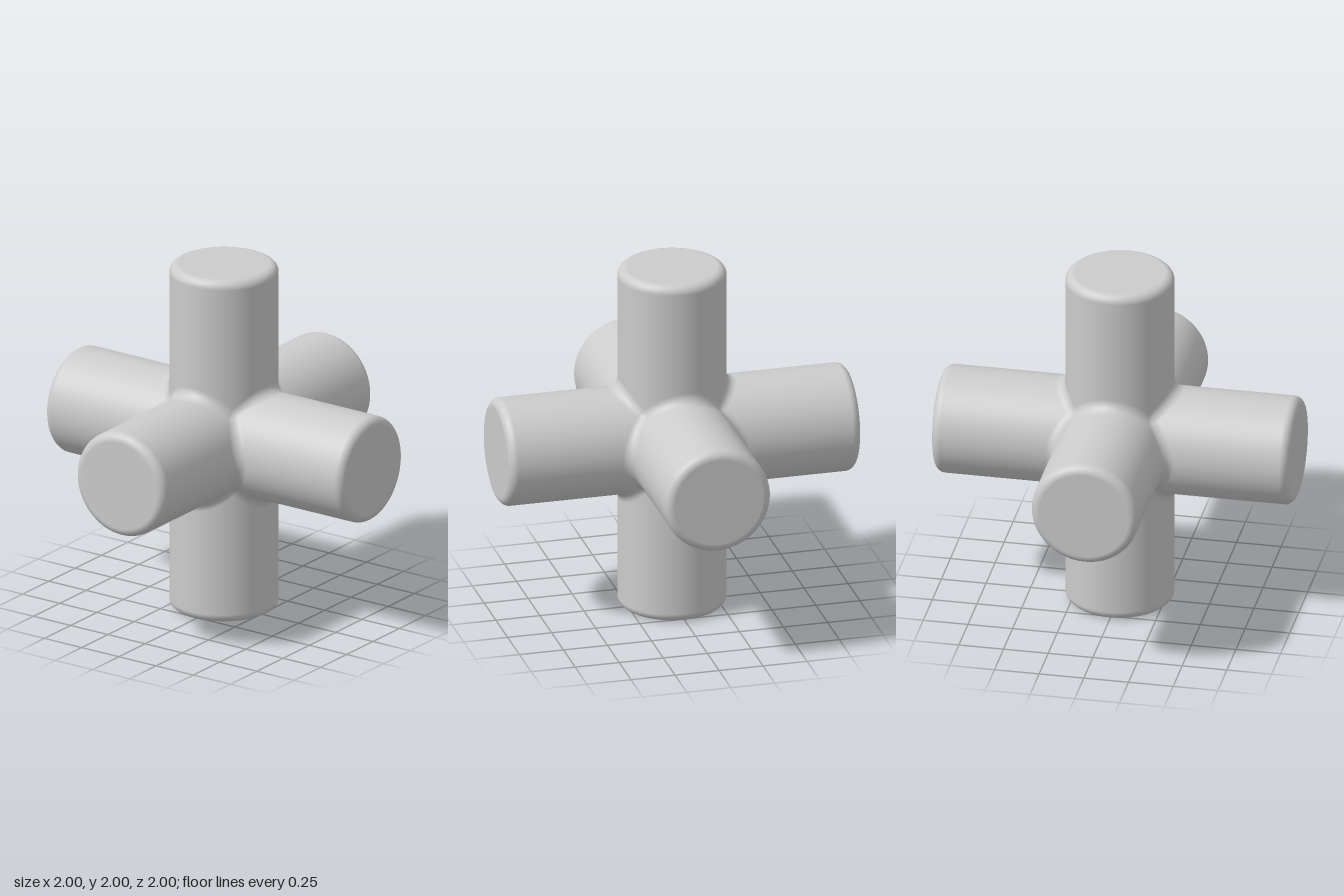
import * as THREE from 'three';
import { mergeGeometries } from 'three/addons/utils/BufferGeometryUtils.js';

const R = 0.3;      // arm radius
const F = 0.06;     // blend radius where arms meet
const RIM = 0.05;   // rounding at the arm ends
const SEG = 24;     // columns per quarter of an arm
const N = 12;       // steps across a full blend arc

function makeGeometry(points, normals, index) {
  const g = new THREE.BufferGeometry();
  g.setAttribute('position', new THREE.Float32BufferAttribute(points.flatMap(p => p.toArray()), 3));
  g.setAttribute('normal', new THREE.Float32BufferAttribute(normals.flatMap(n => n.toArray()), 3));
  g.setIndex(index);
  return g;
}

// One lengthwise quarter of an arm along +z: half blend, straight wall, rounded rim
function quarterPanel() {
  const points = [], normals = [], index = [];
  const rows = N / 2 + 1 + 9;
  for (let i = 0; i <= SEG; i++) {
    const phi = (i / SEG - 0.5) * Math.PI / 2;
    const c = Math.cos(phi), s = Math.sin(phi);
    // blend: a ball touching this arm and the neighbouring arm along x
    const ball = new THREE.Vector3(c, s, c).multiplyScalar(R + F);
    const own = new THREE.Vector3(-c, -s, 0), other = new THREE.Vector3(0, -s, -c);
    for (let k = N / 2; k >= 0; k--) {
      const d = own.clone().lerp(other, k / N).normalize();
      points.push(ball.clone().addScaledVector(d, F));
      normals.push(d.negate());
    }
    // rim
    for (let k = 0; k <= 8; k++) {
      const a = k / 8 * Math.PI / 2;
      const n = new THREE.Vector3(c * Math.cos(a), s * Math.cos(a), Math.sin(a));
      points.push(new THREE.Vector3(c * (R - RIM), s * (R - RIM), 1 - RIM).addScaledVector(n, RIM));
      normals.push(n);
    }
  }
  for (let i = 0; i < SEG; i++) {
    for (let j = 0; j < rows - 1; j++) {
      const a = i * rows + j, b = a + rows;
      index.push(a, b, b + 1, a, b + 1, a + 1);
    }
  }
  return makeGeometry(points, normals, index);
}

function armGeometry() {
  const parts = [];
  for (let q = 0; q < 4; q++) parts.push(quarterPanel().rotateZ(q * Math.PI / 2));
  const cap = new THREE.CircleGeometry(R - RIM, SEG * 4, Math.PI / 4).translate(0, 0, 1);
  cap.deleteAttribute('uv');
  parts.push(cap);
  return mergeGeometries(parts);
}

// Spherical triangle that closes the blend between three arms
function cornerGeometry() {
  const points = [], normals = [], index = [];
  const h = (R + F) * Math.SQRT1_2;
  const centre = new THREE.Vector3(h, h, h);
  const id = (i, j) => i * (i + 1) / 2 + j;
  for (let i = 0; i <= N; i++) {
    for (let j = 0; j <= i; j++) {
      const w1 = N - i, w2 = i - j, w3 = j;
      const d = new THREE.Vector3(-w1 - w3, -w1 - w2, -w2 - w3).normalize();
      points.push(centre.clone().addScaledVector(d, F));
      normals.push(d.negate());
      if (i < N) {
        index.push(id(i, j), id(i + 1, j), id(i + 1, j + 1));
        if (j < i) index.push(id(i, j), id(i + 1, j + 1), id(i, j + 1));
      }
    }
  }
  return makeGeometry(points, normals, index);
}

export function createModel() {
  const model = new THREE.Group();
  model.name = 'sixWayCross';
  const material = new THREE.MeshStandardMaterial({ color: 0xcccccc });

  function add(name, geometry, rx, ry) {
    const mesh = new THREE.Mesh(geometry, material);
    mesh.name = name;
    mesh.rotation.set(rx, ry, 0, 'YXZ');
    mesh.position.y = 1;
    model.add(mesh);
  }

  // Six arms
  const arm = armGeometry();
  ['frontArm', 'leftArm', 'backArm', 'rightArm'].forEach((name, i) => add(name, arm, 0, i * Math.PI / 2));
  add('topArm', arm, -Math.PI / 2, 0);
  add('bottomArm', arm, Math.PI / 2, 0);

  // Eight corner blends
  const corner = cornerGeometry();
  for (let i = 0; i < 4; i++) {
    add('upperCornerBlend' + (i + 1), corner, 0, i * Math.PI / 2);
    add('lowerCornerBlend' + (i + 1), corner, Math.PI, i * Math.PI / 2);
  }
  return model;
}
